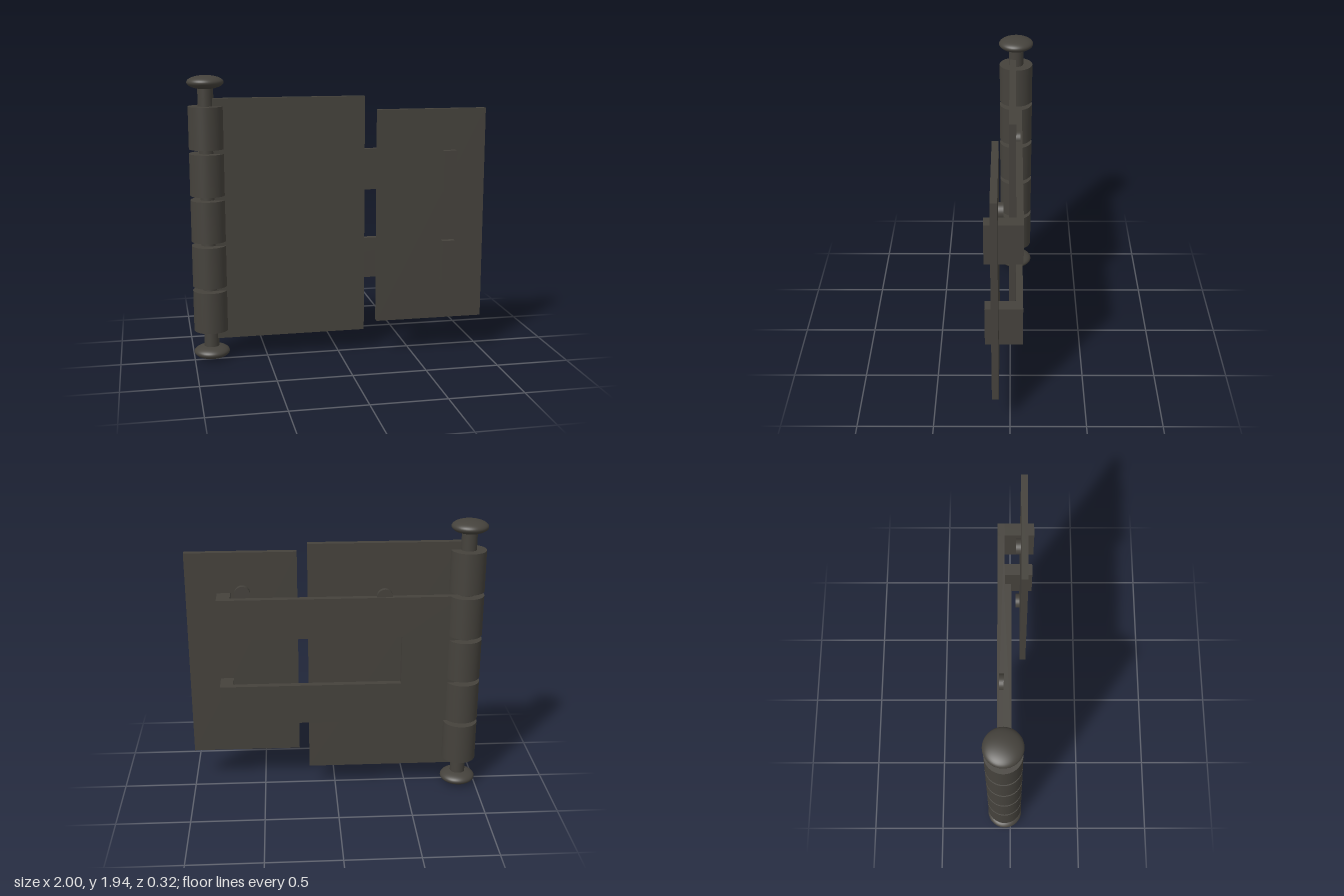
import * as THREE from 'three';

export function createModel() {
  const model = new THREE.Group();
  model.name = 'hingedHasp';
  const metal = new THREE.MeshStandardMaterial({ color: 0x45423c });

  const add = (name, geometry, x = 0, y = 0, z = 0) => {
    const mesh = new THREE.Mesh(geometry, metal);
    mesh.name = name;
    mesh.position.set(x, y, z);
    model.add(mesh);
    return mesh;
  };
  // Box given by its lower and upper corners
  const slab = (name, [x0, y0, z0], [x1, y1, z1]) =>
    add(name, new THREE.BoxGeometry(x1 - x0, y1 - y0, z1 - z0),
      (x0 + x1) / 2, (y0 + y1) / 2, (z0 + z1) / 2);

  const pinX = -0.88, pinZ = -0.04, midY = 0.971;
  const armLow = [0.517, 0.8], armHigh = [1.143, 1.425];

  // Hinge pin with a lens-shaped cap at each end
  add('hingePin', new THREE.CylinderGeometry(0.052, 0.052, 1.82, 48), pinX, midY, pinZ);
  for (const side of [-1, 1]) {
    const cap = add('pinCap', new THREE.SphereGeometry(0.122, 48, 24), pinX, midY + side * 0.923, pinZ);
    cap.scale.y = 0.046 / 0.122;
  }

  // Five knuckles around the pin
  for (let i = 0; i < 5; i++) {
    add('knuckle', new THREE.CylinderGeometry(0.118, 0.118, 0.282, 64),
      pinX, midY + (i - 2) * 0.3125, pinZ);
  }

  // Front leaf and the separate catch plate
  slab('frontLeaf', [-0.84, 0.15, -0.038], [0.183, 1.79, 0.007]);
  slab('catchPlate', [0.25, 0.24, 0.072], [1, 1.706, 0.116]);

  // Rear leaf: a fork with two arms
  const fork = new THREE.Shape([
    [-0.84, armLow[0]], [0.79, armLow[0]], [0.79, armLow[1]], [-0.45, armLow[1]],
    [-0.45, armHigh[0]], [0.79, armHigh[0]], [0.79, armHigh[1]], [-0.84, armHigh[1]],
  ].map(([x, y]) => new THREE.Vector2(x, y)));
  add('rearFork', new THREE.ExtrudeGeometry(fork, { depth: 0.045, bevelEnabled: false }), 0, 0, -0.083);

  // Hooked arm ends that pass through the catch plate
  for (const [y0, y1] of [armLow, armHigh]) {
    slab('armHook', [0.7, y0, -0.083], [0.79, y1, 0.162]);
  }

  // Round studs on the backs of both plates, at the outer arm edges
  const studGeometry = new THREE.CylinderGeometry(0.053, 0.053, 0.034, 32).rotateX(Math.PI / 2);
  for (const y of [armLow[0], armHigh[1]]) {
    add('leafStud', studGeometry, -0.33, y, -0.053);
    add('catchStud', studGeometry, 0.62, y, 0.057);
  }

  return model;
}
